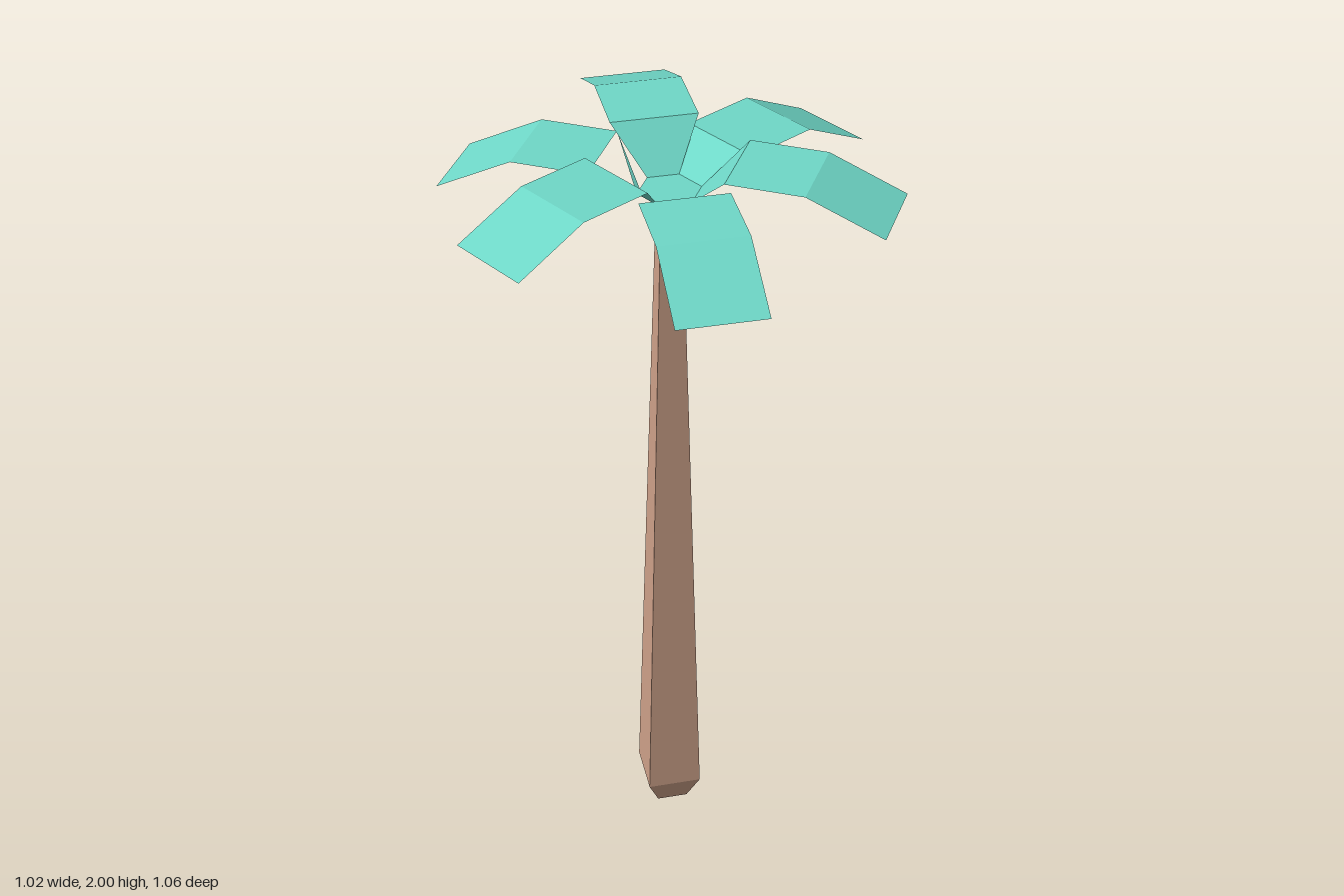
import * as THREE from 'three';

const HUB_Y = 1.9, HUB_R = 0.076;
const HUB_IN = HUB_R * Math.cos(Math.PI / 6), HUB_HALF = HUB_R / 2;
const INNER = 0.16, BEND = 0.345, TIP = 0.53, HALF = 0.105;

// Sheet made of triangles, each given as three [x, y, z] corners
function sheet(name, triangles, material) {
  const geo = new THREE.BufferGeometry();
  geo.setAttribute('position', new THREE.Float32BufferAttribute(triangles.flat(2), 3));
  geo.computeVertexNormals();
  const mesh = new THREE.Mesh(geo, material);
  mesh.name = name;
  return mesh;
}

// Strip through rows of [halfWidth, y, z], running outward along +z
function strip(name, rows, material) {
  const triangles = [];
  for (let i = 0; i + 1 < rows.length; i++) {
    const [w0, y0, z0] = rows[i], [w1, y1, z1] = rows[i + 1];
    const a = [-w0, y0, z0], b = [w0, y0, z0], c = [w1, y1, z1], d = [-w1, y1, z1];
    triangles.push([a, c, b], [a, d, c]);
    triangles[triangles.length - 2] = [a, c, b].reverse().map((p) => p);
    triangles[triangles.length - 1] = [d, c, a];
    triangles[triangles.length - 2] = [a, c, b];
    triangles[triangles.length - 1] = [a, d, c];
  }
  // wind every face upward
  for (const t of triangles) {
    const [p, q, r] = t;
    const up = (q[2] - p[2]) * (r[0] - p[0]) - (q[0] - p[0]) * (r[2] - p[2]);
    if (up < 0) t.reverse();
  }
  return sheet(name, triangles, material);
}

export function createModel() {
  const model = new THREE.Group();
  model.name = 'palmTree';
  const bark = new THREE.MeshStandardMaterial({ name: 'bark', color: 0xcca088, flatShading: true });
  const leaf = new THREE.MeshStandardMaterial({
    name: 'leaf', color: 0x6fd8c8, flatShading: true, side: THREE.DoubleSide,
  });

  // Square tapering trunk with a pinched foot
  const profile = [[0, 0], [0.04, 0], [0.07, 0.08], [0.025, HUB_Y - 0.004], [0, HUB_Y - 0.004]]
    .map(([half, y]) => new THREE.Vector2(half * Math.SQRT2, y));
  const trunk = new THREE.Mesh(new THREE.LatheGeometry(profile, 4, Math.PI / 4), bark);
  trunk.name = 'trunk';
  model.add(trunk);

  // Flat six-sided crown plate
  const hub = new THREE.Mesh(new THREE.CircleGeometry(HUB_R, 6).rotateX(-Math.PI / 2), leaf);
  hub.name = 'crownPlate';
  hub.position.y = HUB_Y;
  model.add(hub);

  // Six fronds, alternating low and high
  for (let k = 0; k < 6; k++) {
    const low = k % 2 === 0;
    const y = low ? 1.97 : 2, tipY = low ? 1.875 : 1.925;
    const frond = new THREE.Group();
    frond.name = 'frond' + (k + 1);
    frond.rotation.y = k * Math.PI / 3;
    frond.add(strip('blade', [[HALF, y, INNER], [HALF, y, BEND], [HALF, tipY, TIP]], leaf));

    // Stem rising from the plate; two of them are torn to a sliver
    if (k === 0) {
      frond.add(sheet('tornStem', [
        [[-HUB_HALF, HUB_Y, HUB_IN], [HALF, y, INNER], [HUB_HALF, HUB_Y, HUB_IN]],
      ], leaf));
    } else if (k === 4) {
      frond.add(sheet('tornStem', [
        [[HUB_HALF, HUB_Y, HUB_IN], [0.015, HUB_Y, HUB_IN], [-HALF, y, INNER]],
      ], leaf));
    } else {
      frond.add(strip('stem', [[HUB_HALF, HUB_Y, HUB_IN], [HALF, y, INNER]], leaf));
    }
    model.add(frond);
  }
  return model;
}
